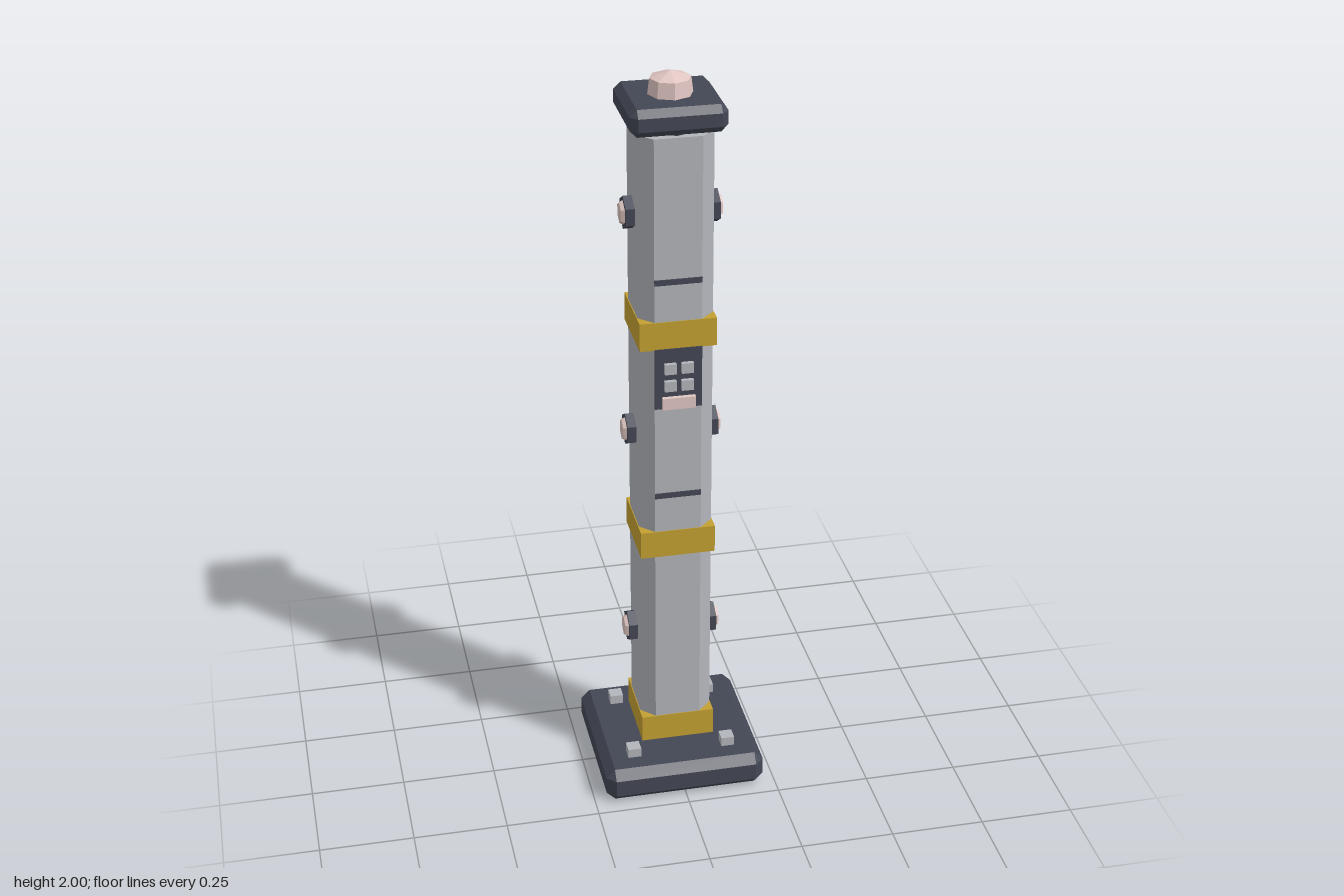
import * as THREE from 'three';
import { ConvexGeometry } from 'three/addons/geometries/ConvexGeometry.js';

const material = (name, color) => {
  const m = new THREE.MeshStandardMaterial({ color, flatShading: true });
  m.name = name;
  return m;
};

// Box with every edge cut by a flat chamfer
function chamferedBox(w, h, d, c) {
  const points = [];
  for (const x of [-w / 2, w / 2]) for (const y of [-h / 2, h / 2]) for (const z of [-d / 2, d / 2]) {
    const ix = x - Math.sign(x) * c, iy = y - Math.sign(y) * c, iz = z - Math.sign(z) * c;
    points.push(new THREE.Vector3(x, iy, iz), new THREE.Vector3(ix, y, iz), new THREE.Vector3(ix, iy, z));
  }
  return new ConvexGeometry(points);
}

// Upright square prism with cut corners, from y0 to y1
function cutPrism(half, flat, y0, y1) {
  const outline = [[half, flat], [flat, half], [-flat, half], [-half, flat],
    [-half, -flat], [-flat, -half], [flat, -half], [half, -flat]];
  const shape = new THREE.Shape(outline.map(([x, y]) => new THREE.Vector2(x, y)));
  return new THREE.ExtrudeGeometry(shape, { depth: y1 - y0, bevelEnabled: false })
    .rotateX(-Math.PI / 2).translate(0, y0, 0);
}

export function createModel() {
  const dark = material('dark slate', 0x434754);
  const grey = material('light grey', 0xb2b5ba);
  const yellow = material('safety yellow', 0xc4a032);
  const pink = material('pale pink lens', 0xe0c6c2);

  const group = new THREE.Group();
  group.name = 'post';
  const add = (name, geometry, mat, x = 0, y = 0, z = 0) => {
    const mesh = new THREE.Mesh(geometry, mat);
    mesh.name = name;
    mesh.position.set(x, y, z);
    group.add(mesh);
    return mesh;
  };
  const box = (w, h, d) => new THREE.BoxGeometry(w, h, d);

  // Foot plate with four square bolts
  add('basePlate', chamferedBox(0.436, 0.096, 0.436, 0.024), dark, 0, 0.05, 0);
  for (const x of [-0.13, 0.13]) for (const z of [-0.13, 0.13])
    add('baseBolt', box(0.036, 0.03, 0.036), grey, x, 0.109, z);

  // Column, with recessed necks at both ends
  add('lowerNeck', new THREE.CylinderGeometry(0.068, 0.068, 0.03, 8), dark, 0, 0.105, 0);
  add('column', cutPrism(0.097, 0.061, 0.113, 1.862), grey);
  add('upperNeck', new THREE.CylinderGeometry(0.085, 0.085, 0.03, 8), dark, 0, 1.868, 0);

  // Square yellow bands
  for (const y of [0.152, 0.735, 1.339]) add('band', box(0.198, 0.076, 0.198), yellow, 0, y, 0);

  // Seams on the front and back faces
  for (const y of [0.88, 1.485]) for (const z of [-0.097, 0.097])
    add('seam', box(0.122, 0.015, 0.006), dark, 0, y, z);

  // Control panel: plate, four keys and a display strip
  add('panel', box(0.122, 0.168, 0.008), dark, 0, 1.219, 0.097);
  for (const x of [-0.022, 0.022]) for (const y of [1.202, 1.25])
    add('panelKey', box(0.031, 0.028, 0.014), grey, x, y, 0.106);
  add('panelStrip', box(0.086, 0.032, 0.014), pink, 0, 1.153, 0.106);

  // Hexagonal lamps on both sides
  for (const side of [-1, 1]) for (const y of [0.43, 1.035, 1.64]) {
    const turn = g => g.rotateY(Math.PI / 2).rotateZ(-side * Math.PI / 2);
    add('lampHousing', turn(new THREE.CylinderGeometry(0.044, 0.044, 0.03, 6)), dark, side * 0.105, y, 0);
    add('lampLens', turn(new THREE.CylinderGeometry(0.027, 0.034, 0.01, 6)), pink, side * 0.124, y, 0);
  }

  // Cable conduit down the back
  add('conduit', new THREE.CylinderGeometry(0.0125, 0.0125, 1.73, 8), dark, 0, 0.957, -0.11);

  // Cap and faceted beacon
  add('cap', chamferedBox(0.242, 0.07, 0.242, 0.018), dark, 0, 1.907, 0);
  const profile = [[0, 1.935], [0.058, 1.935], [0.052, 1.982], [0, 2]];
  add('beacon', new THREE.LatheGeometry(profile.map(([r, y]) => new THREE.Vector2(r, y)), 8), pink);

  return group;
}
